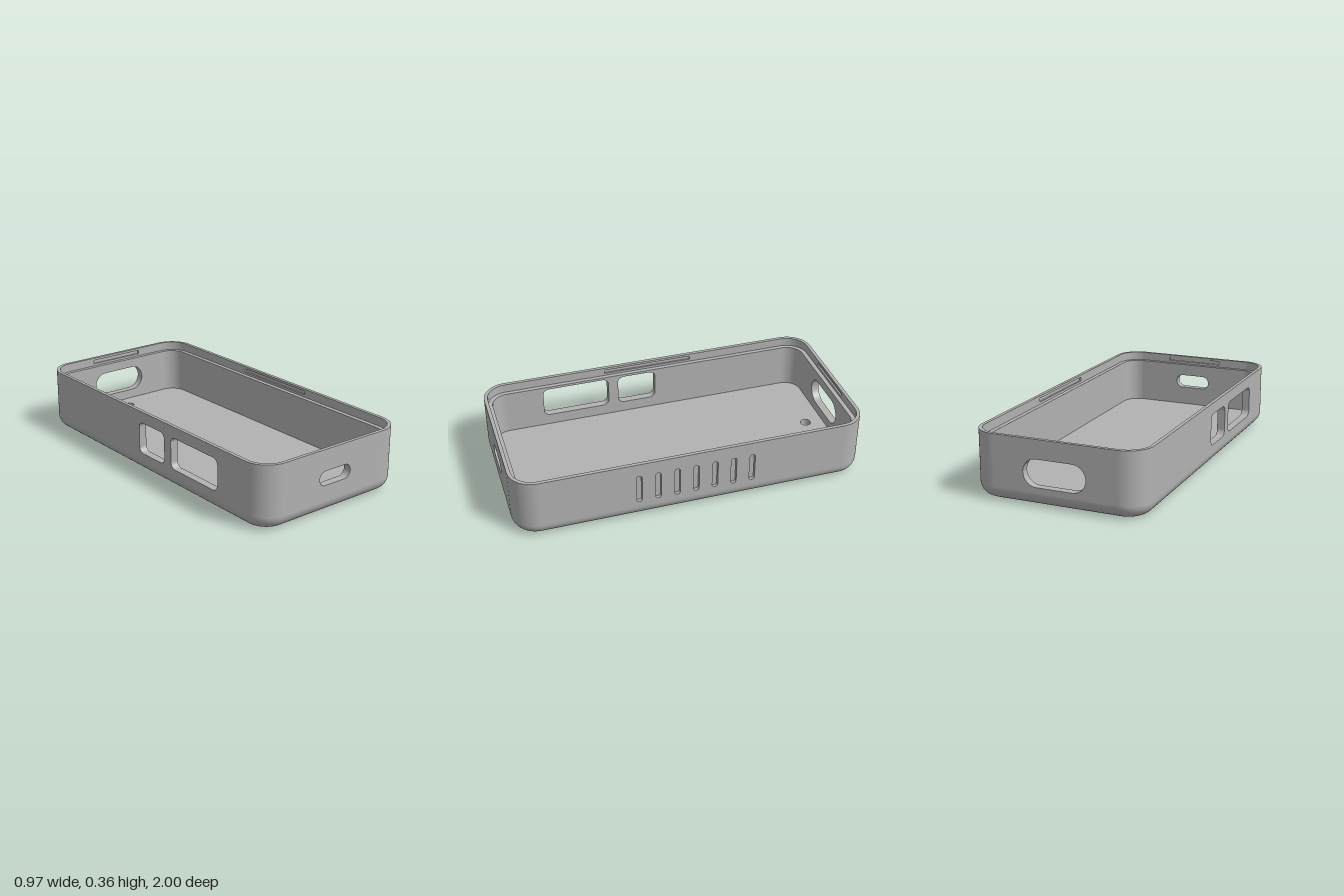
import * as THREE from 'three';

const HX = 0.485, HZ = 1, R = 0.14;           // half width, half length, corner radius
const TOP = 0.36, LEDGE = 0.31, FLOOR = 0.05; // heights
const FILLET = 0.075, LIP = 0.02, WALL = 0.045;
const SEG = 14;

const plastic = new THREE.MeshStandardMaterial({ color: 0xb2b2b2, side: THREE.DoubleSide });
plastic.name = 'grey plastic';

// Closed outline of a rounded rectangle, as points
function roundRect(cx, cy, w, h, r, seg = 10) {
  const pts = [];
  for (let q = 0; q < 4; q++) {
    const sx = q === 0 || q === 3 ? 1 : -1, sy = q < 2 ? 1 : -1;
    for (let i = 0; i <= seg; i++) {
      const a = (q + i / seg) * Math.PI / 2;
      pts.push(new THREE.Vector2(
        cx + sx * (w / 2 - r) + r * Math.cos(a),
        cy + sy * (h / 2 - r) + r * Math.sin(a)));
    }
  }
  return pts;
}

function slab(outline, holes, depth) {
  const shape = new THREE.Shape(outline);
  shape.holes = holes.map(h => new THREE.Path(h));
  return new THREE.ExtrudeGeometry(shape, { depth, bevelEnabled: false });
}

function add(group, name, geometry) {
  const mesh = new THREE.Mesh(geometry, plastic);
  mesh.name = name;
  group.add(mesh);
  return mesh;
}

// Surface swept round the case. Each ring is [inset, height, outward normal, upward normal].
function band(rings, cornersOnly) {
  const pos = [], nor = [], idx = [];
  const n = 4 * (SEG + 1);
  for (const [d, y, nr, ny] of rings) {
    for (let q = 0; q < 4; q++) {
      const sx = q === 0 || q === 3 ? 1 : -1, sz = q < 2 ? 1 : -1;
      for (let i = 0; i <= SEG; i++) {
        const a = (q + i / SEG) * Math.PI / 2, c = Math.cos(a), s = Math.sin(a);
        pos.push(sx * (HX - R) + (R - d) * c, y, sz * (HZ - R) + (R - d) * s);
        nor.push(c * nr, ny, s * nr);
      }
    }
  }
  for (let k = 0; k < rings.length - 1; k++) {
    for (let i = 0; i < n; i++) {
      if (cornersOnly && i % (SEG + 1) === SEG) continue;
      const a = k * n + i, b = k * n + (i + 1) % n;
      idx.push(a, a + n, b, b, a + n, b + n);
    }
  }
  const g = new THREE.BufferGeometry();
  g.setAttribute('position', new THREE.Float32BufferAttribute(pos, 3));
  g.setAttribute('normal', new THREE.Float32BufferAttribute(nor, 3));
  g.setIndex(idx);
  return g;
}

// Straight wall in three layers: skin, lip with snap groove, inner wall up to the ledge
function sideWall(name, angle, half, len, grooveLen, openings, vents) {
  const wall = new THREE.Group();
  wall.name = name;
  const rect = (y0, y1) => [[-len, y0], [len, y0], [len, y1], [-len, y1]].map(p => new THREE.Vector2(...p));
  const groove = roundRect(0, 0.335, grooveLen, 0.022, 0.003, 2);
  const layers = [
    ['outerSkin', 0, LIP / 2, FILLET, TOP, [...openings, ...vents]],
    ['lipLayer', LIP / 2, LIP, FILLET, TOP, [...openings, ...vents, groove]],
    ['innerWall', LIP, WALL, FLOOR, LEDGE, openings],
  ];
  for (const [part, d0, d1, y0, y1, holes] of layers) {
    add(wall, part, slab(rect(y0, y1), holes, d1 - d0).translate(0, 0, half - d1));
  }
  wall.rotation.y = angle;
  return wall;
}

export function createModel() {
  const model = new THREE.Group();
  model.name = 'openCase';

  // Rounded bottom edge
  const fillet = [];
  for (let i = 0; i <= 12; i++) {
    const a = i / 12 * Math.PI / 2, s = Math.sin(a), c = Math.cos(a);
    fillet.push([FILLET * (1 - s), FILLET * (1 - c), s, -c]);
  }
  add(model, 'bottomEdge', band(fillet, false));

  // Corners: outer face, rim, lip, ledge and inner face
  const corners = new THREE.Group();
  corners.name = 'corners';
  model.add(corners);
  add(corners, 'outerCorners', band([[0, FILLET, 1, 0], [0, TOP, 1, 0]], true));
  add(corners, 'rimCorners', band([[0, TOP, 0, 1], [LIP, TOP, 0, 1]], true));
  add(corners, 'lipCorners', band([[LIP, TOP, -1, 0], [LIP, LEDGE, -1, 0]], true));
  add(corners, 'ledgeCorners', band([[LIP, LEDGE, 0, 1], [WALL, LEDGE, 0, 1]], true));
  add(corners, 'innerCorners', band([[WALL, LEDGE, -1, 0], [WALL, FLOOR, -1, 0]], true));

  // Cut-outs
  const frontPort = roundRect(0, 0.2, 0.216, 0.08, 0.0399);
  const backPort = roundRect(0, 0.18, 0.35, 0.15, 0.0749);
  const windows = [
    roundRect(0.075, 0.205, 0.23, 0.18, 0.035),
    roundRect(0.447, 0.205, 0.395, 0.18, 0.035),
  ];
  const vents = [];
  for (let i = -3; i <= 3; i++) vents.push(roundRect(i * 0.107, 0.195, 0.032, 0.172, 0.0159, 6));

  // Four walls
  const lx = HX - R, lz = HZ - R;
  model.add(
    sideWall('frontWall', 0, HZ, lx, 0.34, [frontPort], []),
    sideWall('backWall', Math.PI, HZ, lx, 0.34, [backPort], []),
    sideWall('ventWall', Math.PI / 2, HX, lz, 0.53, [], vents),
    sideWall('windowWall', -Math.PI / 2, HX, lz, 0.53, windows, []));

  // Floor with pinhole, and a shallow recess underneath
  const RECESS = 0.015;
  const outline = d => roundRect(0, 0, 2 * (HX - d), 2 * (HZ - d), R - d, SEG);
  const pinhole = roundRect(0, 0.85, 0.06, 0.06, 0.0299, 8);
  const recess = roundRect(0, 0, 0.64, 1.4, 0.08);
  add(model, 'undersidePlate', slab(outline(FILLET), [pinhole, recess], RECESS).rotateX(-Math.PI / 2));
  add(model, 'floor', slab(outline(WALL), [pinhole], FLOOR - RECESS)
    .rotateX(-Math.PI / 2).translate(0, RECESS, 0));

  return model;
}
